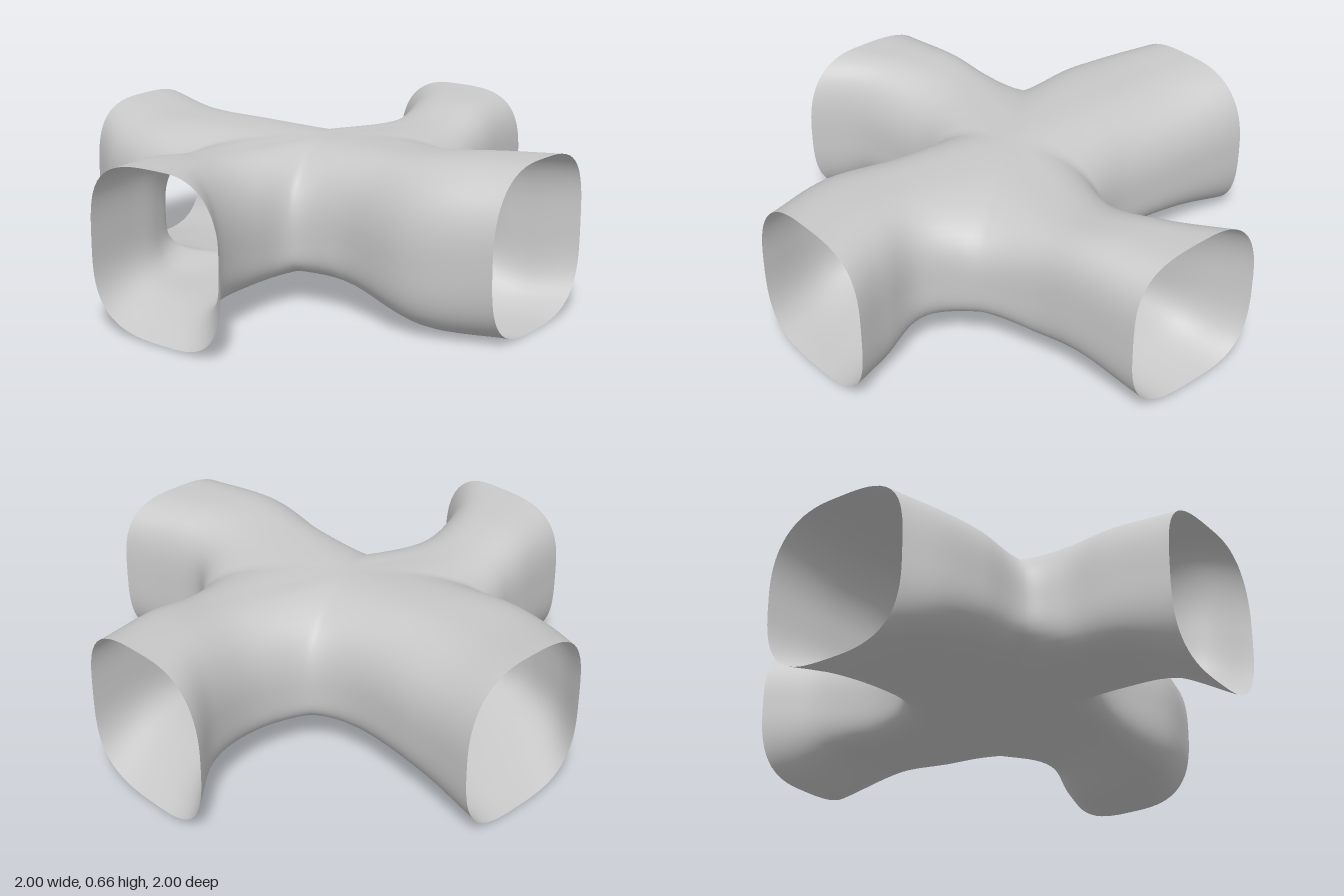
import * as THREE from 'three';
import { mergeVertices } from 'three/addons/utils/BufferGeometryUtils.js';

// Crown and floor lines of each arm, from its open end to the junction: [x, z, top, bottom]
const CENTRE = [0, 0.03, 0.615, 0.12];
const ARMS = [
  [[-0.04, -1, 0.66, 0.005], [0.08, -0.74, 0.645, 0.105], [0.13, -0.46, 0.605, 0.115], CENTRE], // back
  [[1, 0.03, 0.66, 0], [0.75, 0.09, 0.655, 0.012], [0.45, 0.09, 0.63, 0.1], CENTRE], // left side (+x)
  [[0.04, 1, 0.66, 0.005], [-0.09, 0.76, 0.64, 0.09], [-0.14, 0.5, 0.605, 0.1], CENTRE], // front
  [[-1, -0.03, 0.66, 0], [-0.75, 0.06, 0.632, 0.06], [-0.42, 0.07, 0.63, 0.1], CENTRE], // right side (-x)
];

// Side walls from each arm round to the next: plan outline [x, z], how square the
// upper corner is at the mouth and at the junction, and how high the wall is widest there
const WALLS = [
  { mouth: 3.5, inner: 3, waist: 0.42, outline: [[0.31, -1], [0.35, -0.72], [0.39, -0.52], [0.48, -0.33], [0.65, -0.2], [0.83, -0.24], [1, -0.31]] },
  { mouth: 2.5, inner: 2.4, waist: 0.33, outline: [[1, 0.33], [0.68, 0.41], [0.32, 0.35], [0.14, 0.4], [0.11, 0.58], [0.17, 0.84], [0.31, 1]] },
  { mouth: 3.5, inner: 3, waist: 0.42, outline: [[-0.33, 1], [-0.37, 0.75], [-0.4, 0.58], [-0.47, 0.46], [-0.68, 0.435], [-0.85, 0.39], [-1, 0.31]] },
  { mouth: 2.5, inner: 2.4, waist: 0.33, outline: [[-1, -0.33], [-0.7, -0.285], [-0.33, -0.27], [-0.19, -0.34], [-0.13, -0.54], [-0.19, -0.81], [-0.33, -1]] },
];
const LOWER = { mouth: 3.1, inner: 4.5 };

const { lerp } = THREE.MathUtils;
const curve = (pts) => new THREE.CatmullRomCurve3(pts.map(([x, y, z]) => new THREE.Vector3(x, y, z)));

// Four quarter shells share their crown and floor lines and so make one open shell
function shellGeometry() {
  const U = 48, V = 40;
  const crowns = ARMS.map((a) => curve(a.map(([x, z, top]) => [x, top, z])));
  const floors = ARMS.map((a) => curve(a.map(([x, z, , bottom]) => [x, bottom, z])));
  const positions = [], index = [];

  WALLS.forEach((wall, q) => {
    const sideCurve = curve(wall.outline.map(([x, z]) => [x, 0, z]));
    const base = positions.length / 3;
    for (let i = 0; i <= U; i++) {
      const u = i / U;
      const arm = u <= 0.5 ? q : (q + 1) % 4;
      const t = u <= 0.5 ? 2 * u : 2 - 2 * u;
      const top = crowns[arm].getPoint(t);
      const bottom = floors[arm].getPoint(t);
      const side = sideCurve.getPoint(u);
      const waist = lerp(0.5, wall.waist, t);
      for (let j = 0; j <= V; j++) {
        // rounded-square section from floor, round the side, to crown
        const a = (j / V - 0.5) * Math.PI;
        const corner = a > 0 ? wall : LOWER;
        const n = lerp(corner.mouth, corner.inner, t);
        const c = Math.cos(a), s = Math.sin(a);
        const r = Math.pow(Math.pow(Math.abs(c), n) + Math.pow(Math.abs(s), n), -1 / n);
        const p = bottom.clone().lerp(top, waist + s * r * (a > 0 ? 1 - waist : waist));
        positions.push(p.x + (side.x - p.x) * c * r, p.y, p.z + (side.z - p.z) * c * r);
      }
    }
    for (let i = 0; i < U; i++) {
      for (let j = 0; j < V; j++) {
        const a = base + i * (V + 1) + j, b = a + V + 1;
        index.push(a, a + 1, b, b, a + 1, b + 1);
      }
    }
  });

  const geometry = new THREE.BufferGeometry();
  geometry.setAttribute('position', new THREE.Float32BufferAttribute(positions, 3));
  geometry.setIndex(index);
  const merged = mergeVertices(geometry, 1e-4);
  merged.computeVertexNormals();
  return merged;
}

export function createModel() {
  const group = new THREE.Group();
  group.name = 'tunnelJunction';
  const stone = new THREE.MeshStandardMaterial({ name: 'pale grey', color: 0xc8c8c8, side: THREE.DoubleSide });
  const shell = new THREE.Mesh(shellGeometry(), stone);
  shell.name = 'tunnelShell';
  group.add(shell);
  return group;
}
